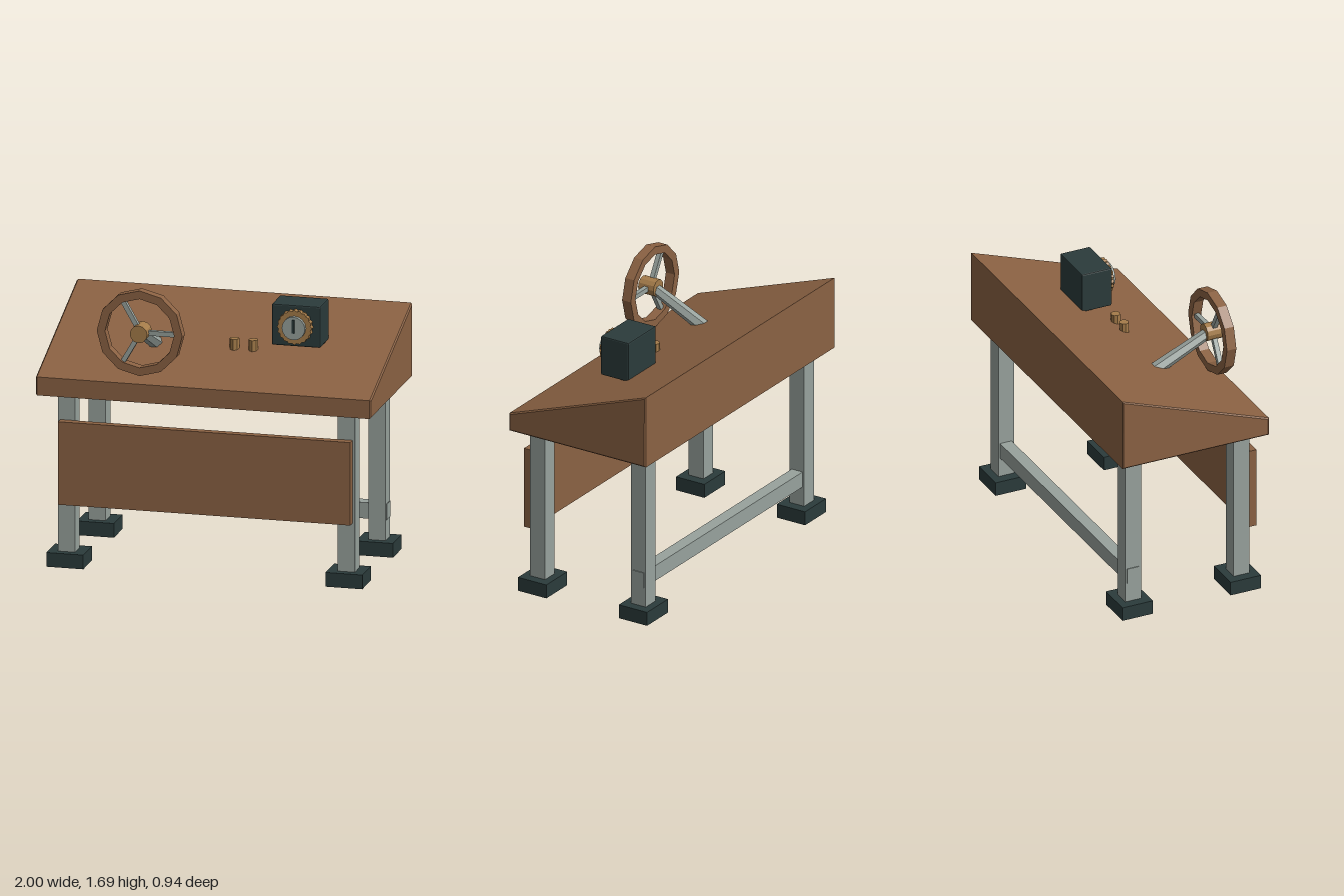
import * as THREE from 'three';
import { RoundedBoxGeometry } from 'three/addons/geometries/RoundedBoxGeometry.js';

function material(name, color) {
  const m = new THREE.MeshStandardMaterial({ color, flatShading: true });
  m.name = name;
  return m;
}

export function createModel() {
  const wood = material('wood', 0x8b6243);
  const steel = material('steel', 0x98a29d);
  const dark = material('darkCasing', 0x2b3b3b);
  const brass = material('brass', 0xa57c4a);

  const model = new THREE.Group();
  model.name = 'controlDesk';

  function add(name, geometry, mat, x = 0, y = 0, z = 0, parent = model) {
    const mesh = new THREE.Mesh(geometry, mat);
    mesh.name = name;
    mesh.position.set(x, y, z);
    parent.add(mesh);
    return mesh;
  }
  const box = (w, h, d) => new THREE.BoxGeometry(w, h, d);
  // Cylinder whose axis runs along z
  const disc = (r, depth, sides) => new THREE.CylinderGeometry(r, r, depth, sides).rotateX(Math.PI / 2);

  // Sloped desk body: side profile (z, y) extruded across the width
  const profile = new THREE.Shape([
    new THREE.Vector2(0.47, 1.03), new THREE.Vector2(0.47, 1.14),
    new THREE.Vector2(-0.47, 1.472), new THREE.Vector2(-0.47, 1.03),
  ]);
  const bevel = 0.008;
  const deskGeometry = new THREE.ExtrudeGeometry(profile, {
    depth: 2 - 2 * bevel, bevelEnabled: true, bevelSize: bevel,
    bevelThickness: bevel, bevelOffset: -bevel, bevelSegments: 1,
  });
  deskGeometry.translate(0, 0, -(1 - bevel)).rotateY(-Math.PI / 2);
  add('deskBody', deskGeometry, wood);

  // Legs and feet
  for (const sx of [-1, 1]) {
    for (const sz of [-1, 1]) {
      add('leg', box(0.102, 0.98, 0.102), steel, sx * 0.834, 0.55, sz * 0.347);
      add('foot', box(0.22, 0.085, 0.195), dark, sx * 0.832, 0.0425, sz * 0.347);
    }
  }

  // Rear rail and front panel
  add('rearRail', box(1.78, 0.095, 0.075), steel, 0, 0.2525, -0.35);
  add('frontPanel', box(1.742, 0.497, 0.05), wood, 0, 0.6265, 0.425);

  // Steering wheel
  const wheel = new THREE.Group();
  wheel.name = 'wheel';
  wheel.position.set(-0.39, 1.433, 0.402);
  model.add(wheel);
  const polygon = (radius, sides) => Array.from({ length: sides }, (_, i) => {
    const a = (i / sides) * Math.PI * 2;
    return new THREE.Vector2(Math.cos(a) * radius, Math.sin(a) * radius);
  });
  const rim = new THREE.Shape(polygon(0.255, 12));
  rim.holes.push(new THREE.Path(polygon(0.206, 12).reverse()));
  const rimGeometry = new THREE.ExtrudeGeometry(rim, { depth: 0.06, bevelEnabled: false });
  add('wheelRim', rimGeometry.translate(0, 0, -0.03), wood, 0, 0, 0, wheel);
  for (let i = 0; i < 3; i++) {
    const spoke = box(0.19, 0.028, 0.028).translate(0.115, 0, 0);
    add('wheelSpoke', spoke.rotateZ((i * Math.PI * 2) / 3), steel, 0, 0, 0, wheel);
  }
  add('wheelHub', disc(0.052, 0.105, 12), brass, 0, 0, 0, wheel);

  // Tapered six-sided column from the hub down into the desk
  const top = new THREE.Vector3(-0.39, 1.427, 0.38);
  const foot = new THREE.Vector3(-0.39, 1.25, 0.0);
  const axis = top.clone().sub(foot);
  const column = new THREE.CylinderGeometry(0.033, 0.041, axis.length(), 6);
  column.rotateY(Math.PI / 6);
  const columnMesh = add('steeringColumn', column.rotateY(Math.PI / 6), steel);
  columnMesh.position.copy(top).add(foot).multiplyScalar(0.5);
  columnMesh.rotation.x = Math.atan2(axis.z, axis.y);
  column.rotateY(Math.PI / 6);

  // Knobs
  for (const x of [0.08, 0.192]) {
    add('knob', new THREE.CylinderGeometry(0.029, 0.029, 0.08, 8), brass, x, 1.299, 0.065);
  }

  // Instrument box with toothed dial
  const gauge = new THREE.Group();
  gauge.name = 'gauge';
  gauge.position.set(0.455, 1.448, 0);
  model.add(gauge);
  add('gaugeCase', new RoundedBoxGeometry(0.29, 0.246, 0.192, 1, 0.008), dark, 0, 0, 0.003, gauge);
  const teeth = 20;
  const gear = new THREE.Shape(Array.from({ length: teeth * 2 }, (_, i) => {
    const a = (i / teeth) * Math.PI;
    const r = i % 2 ? 0.096 : 0.104;
    return new THREE.Vector2(Math.cos(a) * r, Math.sin(a) * r);
  }));
  add('dialRing', new THREE.ExtrudeGeometry(gear, { depth: 0.04, bevelEnabled: false }), brass, 0, 0, 0.095, gauge);
  add('dialFace', disc(0.069, 0.03, 16), steel, 0, 0, 0.144, gauge);
  add('dialPointer', box(0.014, 0.08, 0.009), dark, 0, 0.012, 0.162, gauge);

  return model;
}
